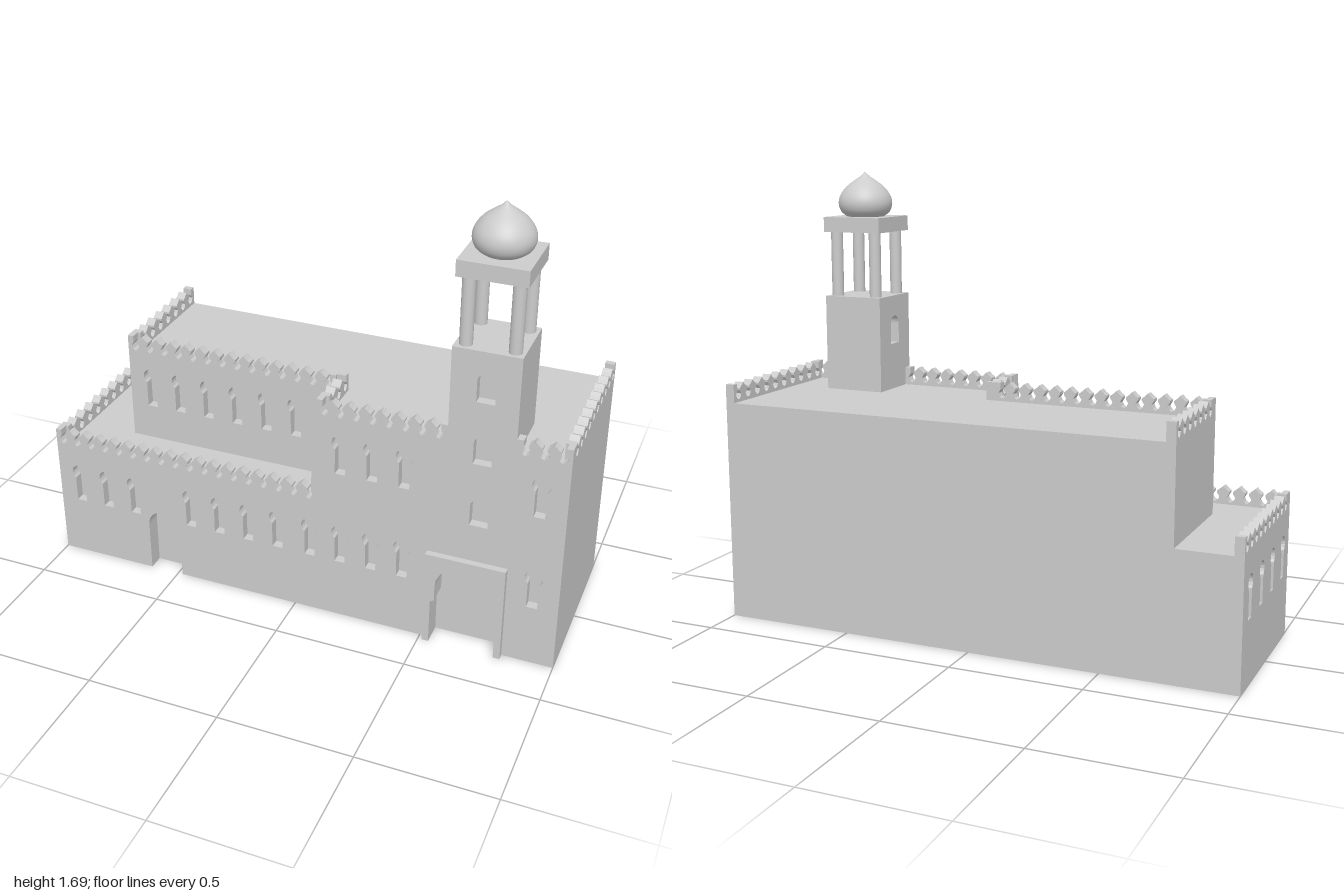
import * as THREE from 'three';

export function createModel() {
  const model = new THREE.Group();
  const stone = new THREE.MeshStandardMaterial({ color: 0xcccccc });
  stone.name = 'pale grey stone';
  const V = (x, y) => new THREE.Vector2(x, y);

  const add = (name, geometry) => {
    const mesh = new THREE.Mesh(geometry, stone);
    mesh.name = name;
    model.add(mesh);
    return mesh;
  };
  const box = (name, x0, x1, y0, y1, z0, z1) =>
    add(name, new THREE.BoxGeometry(x1 - x0, y1 - y0, z1 - z0))
      .position.set((x0 + x1) / 2, (y0 + y1) / 2, (z0 + z1) / 2);

  // Wall slab cut from an outline, with window holes
  const slab = (points, holes, depth) => {
    const shape = new THREE.Shape(points);
    shape.holes = holes.map((h) => new THREE.Path(h));
    return new THREE.ExtrudeGeometry(shape, { depth, bevelEnabled: false });
  };
  const frontSlab = (name, points, holes, z0, z1) =>
    add(name, slab(points, holes, z1 - z0)).position.set(0, 0, z0);
  // Outline x becomes z; the slab fills x0..x1
  const sideSlab = (name, points, holes, x0, x1) =>
    add(name, slab(points, holes, x1 - x0).rotateY(-Math.PI / 2)).position.set(x1, 0, 0);

  // Half circle from left to right over the top
  const arch = (cx, cy, r, from = Math.PI, to = 0) => Array.from({ length: 15 }, (_, i) => {
    const a = from + (to - from) * i / 14;
    return V(cx + r * Math.cos(a), cy + r * Math.sin(a));
  });

  // Openings
  const keyhole = (cx, y) => [
    V(cx - 0.02, y),
    ...arch(cx, y + 0.126, 0.033, Math.PI * 1.29, -Math.PI * 0.29),
    V(cx + 0.02, y),
  ];
  const archWindow = (cx, y) =>
    [V(cx - 0.033, y), ...arch(cx, y + 0.077, 0.033), V(cx + 0.033, y)];
  const sideDoor = [V(-0.615, 0), ...arch(-0.548, 0.203, 0.067), V(-0.481, 0)];
  const mainDoor = [
    V(0.54, 0), V(0.54, 0.18), V(0.555, 0.19),
    ...arch(0.6625, 0.248, 0.1075),
    V(0.77, 0.19), V(0.785, 0.18), V(0.785, 0),
  ];

  // Row of mushroom-shaped merlons walked from b down to a, with a post at each end
  const half = [[0.02, 0.007], [0.014, 0.02], [0.023, 0.034], [0.023, 0.042], [0.011, 0.051]];
  const crenels = (a, b, y) => {
    const n = Math.max(2, Math.round((b - a) / 0.06));
    const p = (b - a) / n;
    const pts = [V(b, y + 0.06)];
    for (let k = n; k >= 0; k--) {
      const c = a + k * p;
      if (k < n) {
        pts.push(V(c + p / 2, y));
        half.forEach(([dx, dy]) => { if (k > 0 || dy < 0.05) pts.push(V(c + dx, y + dy)); });
        if (k === 0) pts.push(V(c + 0.023, y + 0.06));
        else pts.push(V(c, y + 0.062));
      } else pts.push(V(c - 0.023, y + 0.06));
      if (k > 0) {
        [...half].reverse().forEach(([dx, dy]) => {
          if (k < n || dy < 0.05) pts.push(V(c - dx, y + dy));
        });
      }
    }
    pts.push(V(a, y + 0.06));
    return pts;
  };
  const crenelWall = (a, b, y0, y) => [V(a, y0), V(b, y0), ...crenels(a, b, y)];

  const back = -0.345, front = 0.32, skin = 0.285, LOW = 0.487, HIGH = 0.85;
  const roofLow = 0.48, roofHigh = 0.84;

  // Solid cores
  box('lowerBlock', -0.965, 1, 0, roofLow, back, 0.26);
  box('upperRightBlock', 0.09, 1, roofLow, roofHigh, back, skin);
  box('upperLeftBlock', -0.725, 0.09, roofLow, roofHigh, back, 0.1);
  box('towerCore', 0.605, 0.81, roofHigh, 1.21, 0.08, skin);

  // Front wall with tower face, battlements, doors and windows
  const lowerXs = [-0.91, -0.79, -0.67, -0.43, -0.31, -0.19, -0.07, 0.06, 0.18, 0.3, 0.42, 0.905];
  frontSlab('frontWall', [
    V(-1, 0), ...sideDoor, ...mainDoor, V(1, 0),
    ...crenels(0.81, 1, HIGH), V(0.81, 1.21), V(0.57, 1.21),
    ...crenels(0.09, 0.57, HIGH),
    ...crenels(-1, 0.09, LOW).slice(1),
  ], [
    ...lowerXs.map((x) => keyhole(x, 0.24)),
    ...[0.18, 0.3, 0.42, 0.905].map((x) => keyhole(x, 0.62)),
    ...[0.53, 0.78, 1.02].map((y) => archWindow(0.695, y)),
  ], skin, front);
  frontSlab('frontWallBacking', [
    V(-0.965, 0), ...sideDoor, ...mainDoor, V(1, 0), V(1, roofLow), V(-0.965, roofLow),
  ], [], 0.26, skin);
  frontSlab('portalFrame', [
    V(0.515, 0), ...mainDoor, V(0.81, 0), V(0.81, 0.382), V(0.515, 0.382),
  ], [], front, 0.345);

  // Set-back upper wall
  frontSlab('upperLeftFrontWall', crenelWall(-0.76, 0.09, roofLow, HIGH),
    [-0.67, -0.55, -0.43, -0.31, -0.19, -0.07].map((x) => keyhole(x, 0.62)), 0.1, 0.135);

  // Side walls and parapets
  sideSlab('lowSideWall', crenelWall(back, skin, 0, LOW),
    [-0.25, -0.09, 0.07, 0.23].map((z) => keyhole(z, 0.24)), -1, -0.965);
  sideSlab('upperLeftSideWall', crenelWall(back, 0.1, roofLow, HIGH), [], -0.76, -0.725);
  sideSlab('returnParapet', crenelWall(0.1, skin, roofHigh, HIGH), [], 0.09, 0.125);
  sideSlab('farSideParapet', crenelWall(back, skin, roofHigh, HIGH), [], 0.965, 1);

  // Tower side face with window
  sideSlab('towerSideWall', [V(0.08, roofHigh), V(skin, roofHigh), V(skin, 1.21), V(0.08, 1.21)],
    [archWindow(0.2, 1.02)], 0.57, 0.605);

  // Open lantern
  for (const x of [0.607, 0.775]) {
    for (const z of [0.116, 0.285]) {
      add('lanternColumn', new THREE.CylinderGeometry(0.023, 0.023, 0.25, 24))
        .position.set(x, 1.335, z);
    }
  }
  box('lanternSlab', 0.57, 0.812, 1.46, 1.518, 0.08, 0.322);

  // Onion dome
  const profile = new THREE.SplineCurve([
    V(0.072, 1.518), V(0.095, 1.537), V(0.105, 1.567), V(0.098, 1.6),
    V(0.074, 1.633), V(0.042, 1.658), V(0.016, 1.676), V(0, 1.692),
  ]).getPoints(28);
  profile[profile.length - 1].x = 0;
  add('onionDome', new THREE.LatheGeometry(profile, 40)).position.set(0.692, 0, 0.2);

  return model;
}
